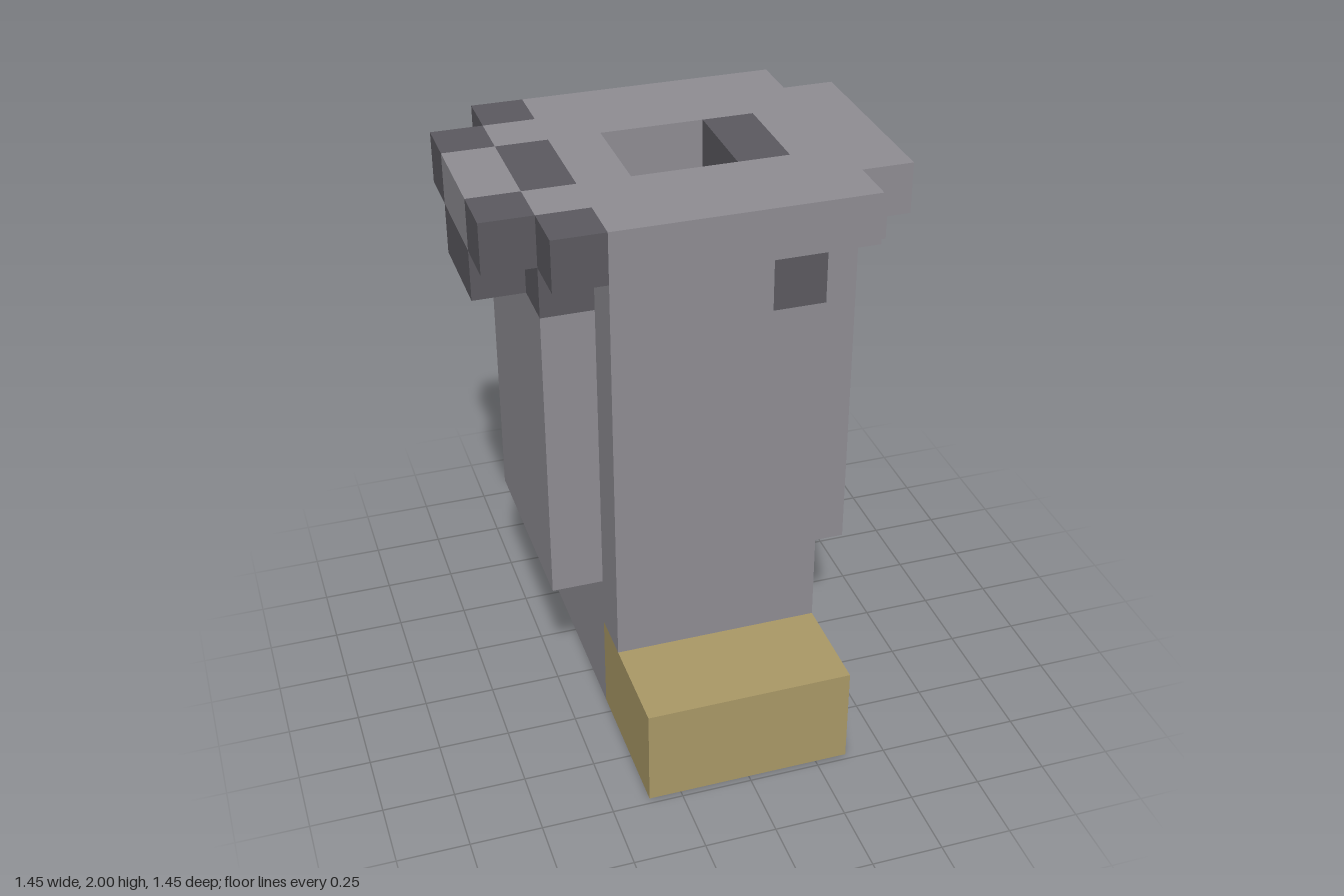
import * as THREE from 'three';

const U = 2 / 11; // one block of the model

export function createModel() {
  const mat = (name, color) => {
    const m = new THREE.MeshStandardMaterial({ color });
    m.name = name;
    return m;
  };
  const grey = mat('grey', 0x8e8c92);
  const dark = mat('darkGrey', 0x5b595f);
  const tan = mat('tan', 0xa99866);

  const model = new THREE.Group();
  model.name = 'bootLeg';

  // A named part made of boxes, each [x0, x1, y0, y1, z0, z1] in blocks
  const part = (name, material, ...boxes) => {
    const group = new THREE.Group();
    group.name = name;
    for (const [x0, x1, y0, y1, z0, z1] of boxes) {
      const geo = new THREE.BoxGeometry((x1 - x0) * U, (y1 - y0) * U, (z1 - z0) * U);
      const mesh = new THREE.Mesh(geo, material);
      mesh.name = name;
      mesh.position.set((x0 + x1) * U / 2, (y0 + y1) * U / 2, (z0 + z1) * U / 2);
      group.add(mesh);
    }
    model.add(group);
  };

  // Toe and ankle
  part('toe', tan, [-2, 2, 0, 2, 1, 4]);
  part('ankle', grey, [-2, 2, 1, 3, -3, 1], [-2, 1, 0, 1, -3, 1]);
  part('ankleStain', dark, [1, 2, 0, 1, -3, 1]);

  // Shaft with a raised front and back panel
  part('shaft', grey, [-3, 3, 3, 9, -3, 1]);
  part('frontPanel', grey, [-2, 2, 2, 9, 1, 2]);
  part('backPanel', grey, [-2, 2, 3, 9, -4, -3]);
  part('sideSpots', dark, [2.9, 3.02, 8, 9, -2, -1], [2.9, 3.02, 5, 6, -2, -1]);

  // Collar, lower layer, around the socket
  part('lowerCollar', grey,
    [-2, -1, 9, 10, -4, 2],
    [-1, 1, 9, 10, -4, -2], [-1, 1, 9, 10, 0, 2],
    [1, 3, 9, 10, -3, 1],
    [3, 4, 9, 10, -2, 0]);
  part('lowerCollarDark', dark,
    [1, 2, 9, 10, 1, 2], [1, 2, 9, 10, -4, -3],
    [-3, -2, 9, 10, -3, 1],
    [-4, -3, 9, 10, -2, 0]);

  // Rim, top layer, with checkered blocks on one side
  part('rim', grey,
    [-4, -3, 10, 11, -2, 0],
    [-3, -2, 10, 11, -3, -2], [-3, -2, 10, 11, 0, 1],
    [-2, -1, 10, 11, -4, 2],
    [-1, 2, 10, 11, -4, -2], [-1, 2, 10, 11, 0, 2],
    [2, 3, 10, 11, -4, 2],
    [3, 4, 10, 11, -3, 1]);
  part('rimDark', dark,
    [-3, -2, 10, 11, -4, -3], [-3, -2, 10, 11, -2, 0], [-3, -2, 10, 11, 1, 2],
    [-4, -3, 10, 11, -3, -2], [-4, -3, 10, 11, 0, 1],
    [1, 2, 10, 11, -2, 0]);

  return model;
}
